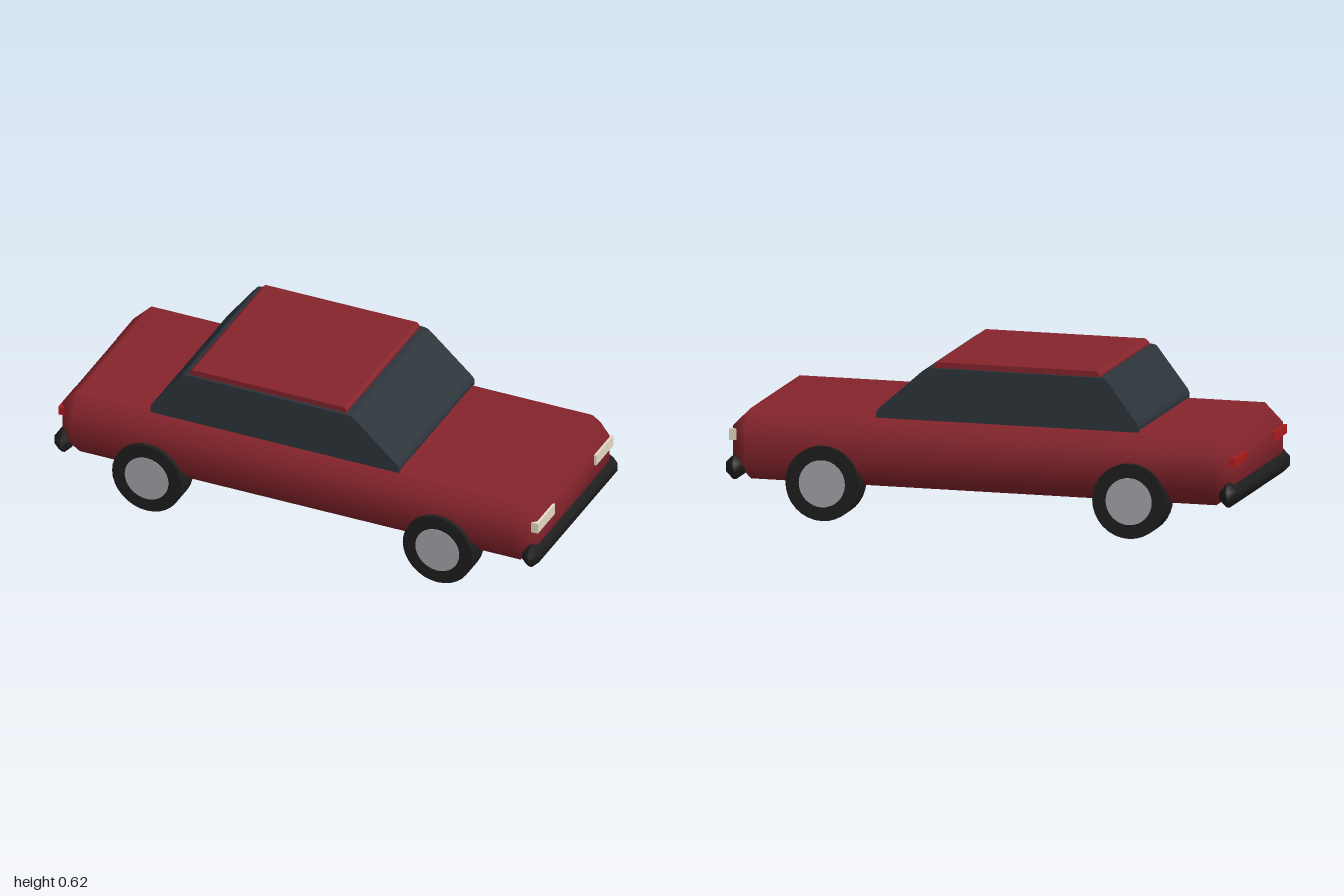
import * as THREE from 'three';
import { mergeVertices } from 'three/addons/utils/BufferGeometryUtils.js';
import { ConvexGeometry } from 'three/addons/geometries/ConvexGeometry.js';

const paint = (color) => new THREE.MeshStandardMaterial({ color });
const RED = paint(0x86242c), GLASS = paint(0x2c343a), BLACK = paint(0x1e1e1e);
const HUB = paint(0xa4a6ac), HEAD = paint(0xe6dcc6), TAIL = paint(0xb01c1c);

// Box with every edge cut at 45 degrees and softly shaded
function chamferedBox(w, h, d, c) {
  const half = [w / 2, h / 2, d / 2], points = [];
  for (const sx of [-1, 1]) for (const sy of [-1, 1]) for (const sz of [-1, 1]) {
    for (let face = 0; face < 3; face++) {
      const [x, y, z] = half.map((v, i) => (i === face ? v : v - c));
      points.push(new THREE.Vector3(sx * x, sy * y, sz * z));
    }
  }
  let geometry = new ConvexGeometry(points);
  geometry.deleteAttribute('normal');
  geometry = mergeVertices(geometry, 1e-4);
  geometry.computeVertexNormals();
  return geometry;
}

// Side profile extruded across the width of the car
function acrossWidth(profile, width) {
  const shape = new THREE.Shape(profile.map(([x, y]) => new THREE.Vector2(x, y)));
  return new THREE.ExtrudeGeometry(shape, { depth: width, bevelEnabled: false })
    .translate(0, 0, -width / 2);
}

export function createModel() {
  const car = new THREE.Group();
  car.name = 'car';
  const add = (name, geometry, material, x = 0, y = 0, z = 0, parent = car) => {
    const mesh = new THREE.Mesh(geometry, material);
    mesh.name = name;
    mesh.position.set(x, y, z);
    parent.add(mesh);
    return mesh;
  };

  // Lower body
  add('body', chamferedBox(1.96, 0.27, 0.786, 0.07), RED, 0, 0.265, 0);

  // Dark cabin with slanted windscreens
  add('cabin', acrossWidth([
    [-0.61, 0.394], [0.415, 0.394], [0.416, 0.414], [0.408, 0.428], [0.235, 0.582],
    [0.222, 0.591], [0.205, 0.595], [-0.465, 0.595], [-0.478, 0.592], [-0.487, 0.583],
    [-0.604, 0.43], [-0.61, 0.415],
  ], 0.682), GLASS);

  // Roof panel
  add('roof', acrossWidth([
    [-0.457, 0.585], [0.195, 0.585], [0.195, 0.606], [0.184, 0.617],
    [-0.442, 0.617], [-0.457, 0.602],
  ], 0.656), RED);

  // Bumpers and lamps at both ends
  const bumper = chamferedBox(0.07, 0.092, 0.764, 0.029);
  const headlight = new THREE.BoxGeometry(0.03, 0.043, 0.156);
  const tailLight = new THREE.BoxGeometry(0.03, 0.034, 0.156);
  for (const end of [-1, 1]) {
    const front = end > 0;
    add(front ? 'frontBumper' : 'rearBumper', bumper, BLACK, end * 0.965, 0.176, 0);
    for (const side of [-1, 1]) {
      add(front ? 'headlight' : 'tailLight', front ? headlight : tailLight,
        front ? HEAD : TAIL, end * 0.975, front ? 0.298 : 0.3, side * 0.263);
    }
  }

  // Wheels, with hub discs showing on both faces
  const tyre = new THREE.CylinderGeometry(0.143, 0.143, 0.105, 32).rotateX(Math.PI / 2);
  const hub = new THREE.CylinderGeometry(0.09, 0.09, 0.11, 32).rotateX(Math.PI / 2);
  for (const x of [-0.593, 0.607]) for (const side of [-1, 1]) {
    const wheel = new THREE.Group();
    wheel.name = 'wheel';
    wheel.position.set(x, 0.143, side * 0.358);
    add('tyre', tyre, BLACK, 0, 0, 0, wheel);
    add('hub', hub, HUB, 0, 0, 0, wheel);
    car.add(wheel);
  }
  return car;
}
